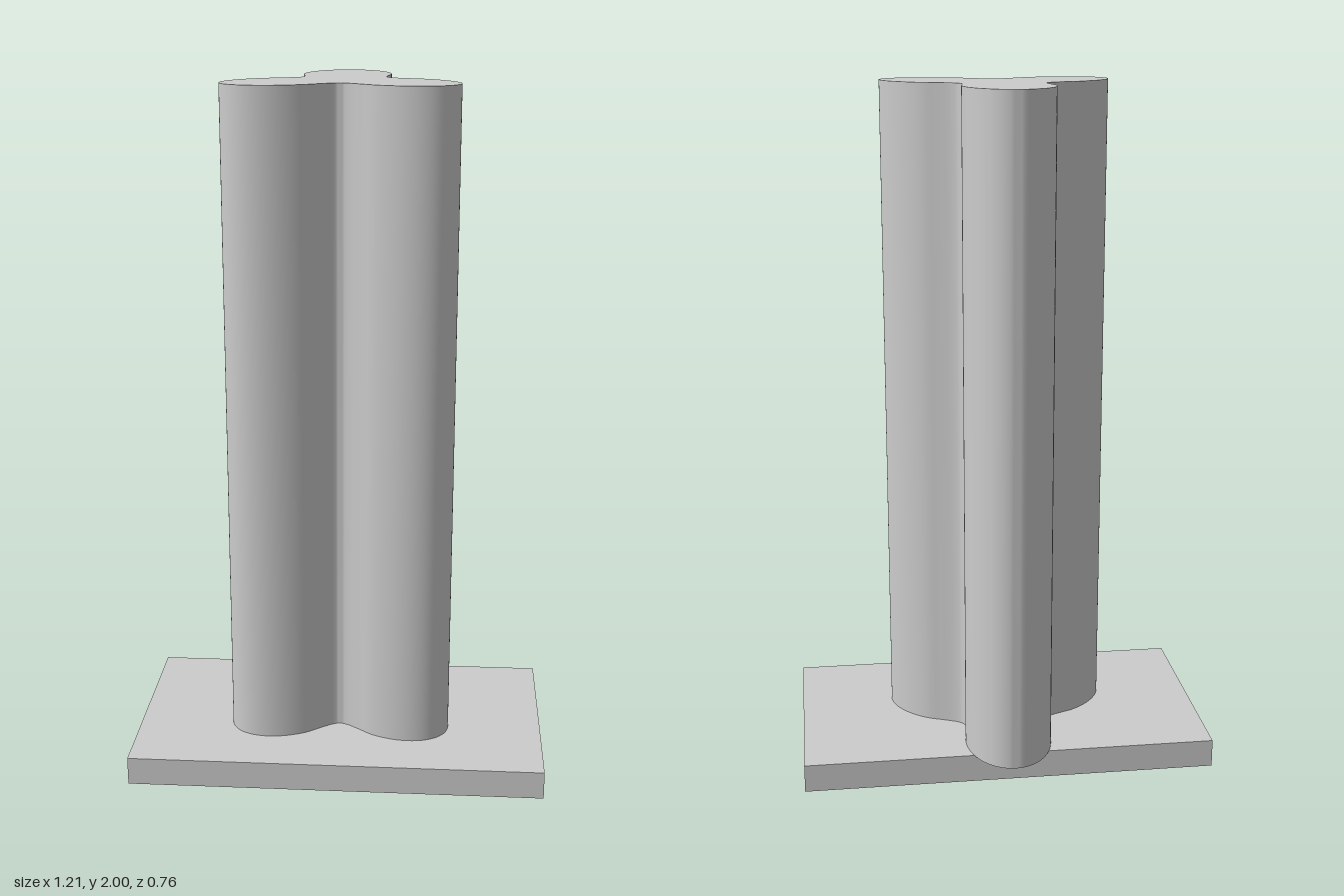
import * as THREE from 'three';
import { toCreasedNormals } from 'three/addons/utils/BufferGeometryUtils.js';

const BASE_TOP = 0.083, TOP = 2, CENTRE_Z = -0.015;

// Closed three-lobed outline in the xz plane
function trefoilCurve() {
  // half a lobe from notch to tip: [distance along lobe axis, half width]
  const half = [[0.07, 0.121], [0.093, 0.1165], [0.14, 0.121]];
  for (let i = 0; i < 6; i++) {
    const t = (i / 6) * Math.PI / 2;
    half.push([0.185 + 0.18 * Math.sin(t), 0.127 * Math.cos(t)]);
  }
  const lobe = [
    ...half.map(([u, v]) => [u, -v]),
    [0.365, 0],
    ...half.slice(1).reverse(),
  ];
  const points = [];
  for (let k = 0; k < 3; k++) {
    const a = Math.PI + (k * Math.PI * 2) / 3;
    const s = Math.sin(a), c = Math.cos(a);
    for (const [u, v] of lobe) {
      points.push(new THREE.Vector3(u * s + v * c, 0, CENTRE_Z + u * c - v * s));
    }
  }
  return new THREE.CatmullRomCurve3(points, true);
}

export function createModel() {
  const model = new THREE.Group();
  model.name = 'trefoilColumnOnBase';
  const grey = new THREE.MeshStandardMaterial({ color: 0xcccccc, side: THREE.DoubleSide });
  grey.name = 'grey';

  const add = (name, geometry) => {
    const mesh = new THREE.Mesh(geometry, grey);
    mesh.name = name;
    model.add(mesh);
    return mesh;
  };

  // Base: thin-walled tray, open underneath
  const box = new THREE.BoxGeometry(1.214, BASE_TOP, 0.668);
  const index = Array.from(box.index.array);
  index.splice(18, 6); // drop the bottom face
  box.setIndex(index);
  box.clearGroups();
  add('base', box).position.set(0, BASE_TOP / 2, 0.046);

  // Column wall: a sheet wrapped around the outline, open at the bottom
  const segments = 192;
  const outline = trefoilCurve().getPoints(segments);
  outline[segments].copy(outline[0]);
  const wall = new THREE.PlaneGeometry(1, 1, segments, 1);
  const pos = wall.attributes.position;
  for (let i = 0; i < pos.count; i++) {
    const p = outline[i % (segments + 1)];
    pos.setXYZ(i, p.x, i <= segments ? TOP : BASE_TOP, p.z);
  }
  add('columnWall', toCreasedNormals(wall, Math.PI / 3));

  // Flat top of the column
  const shape = new THREE.Shape(outline.slice(0, segments).map((p) => new THREE.Vector2(p.x, -p.z)));
  const cap = new THREE.ShapeGeometry(shape).rotateX(-Math.PI / 2);
  add('columnTop', cap).position.y = TOP;

  return model;
}
